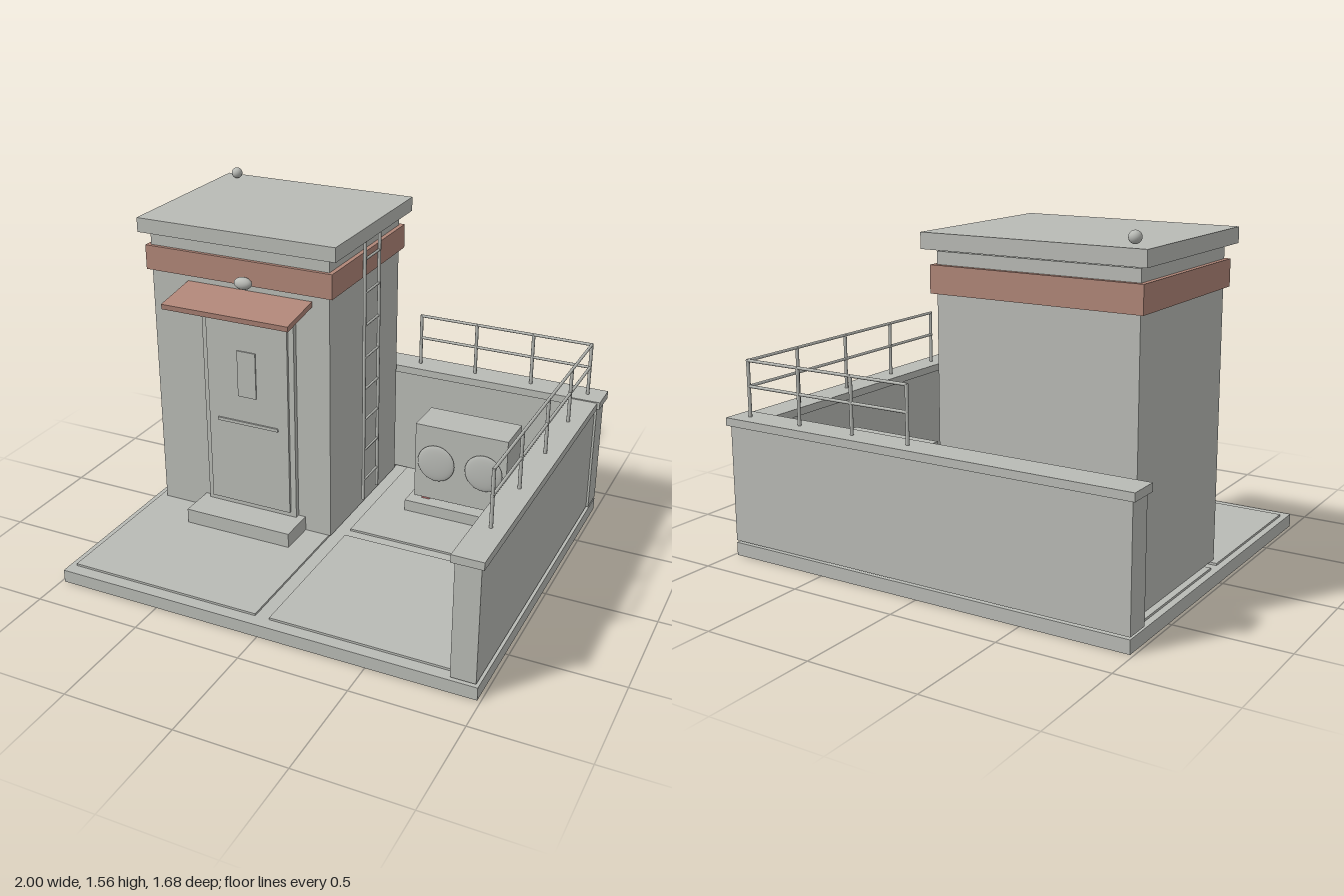
import * as THREE from 'three';

export function createModel() {
  const mat = (name, color) => {
    const m = new THREE.MeshStandardMaterial({ color });
    m.name = name;
    return m;
  };
  const concrete = mat('concrete grey', 0xb9bbb6);
  const clay = mat('clay red', 0xb08678);
  const rubber = mat('foot red', 0xb86c6c);

  const root = new THREE.Group();
  root.name = 'rooftopShelter';

  const group = (name) => {
    const g = new THREE.Group();
    g.name = name;
    root.add(g);
    return g;
  };
  const add = (name, geometry, material, x, y, z, parent = root) => {
    const mesh = new THREE.Mesh(geometry, material);
    mesh.name = name;
    mesh.position.set(x, y, z);
    parent.add(mesh);
    return mesh;
  };
  // Box given by its extents on each axis
  const box = (name, [x0, x1], [y0, y1], [z0, z1], parent = root, material = concrete) =>
    add(name, new THREE.BoxGeometry(x1 - x0, y1 - y0, z1 - z0), material,
      (x0 + x1) / 2, (y0 + y1) / 2, (z0 + z1) / 2, parent);
  // Round bar between two points
  const bar = (name, a, b, radius, parent) => {
    const from = new THREE.Vector3(...a), to = new THREE.Vector3(...b);
    const dir = to.clone().sub(from);
    const mid = from.clone().add(to).multiplyScalar(0.5);
    const mesh = add(name, new THREE.CylinderGeometry(radius, radius, dir.length(), 10),
      concrete, mid.x, mid.y, mid.z, parent);
    mesh.quaternion.setFromUnitVectors(new THREE.Vector3(0, 1, 0), dir.normalize());
    return mesh;
  };
  const ball = (name, x, y, z, rx, ry, rz, parent = root) =>
    add(name, new THREE.SphereGeometry(1, 24, 16), concrete, x, y, z, parent).scale.set(rx, ry, rz);

  // Base with four paving slabs
  box('base', [-0.985, 0.985], [0, 0.06], [-0.83, 0.837]);
  const paving = group('paving');
  for (const x of [[-0.955, -0.037], [0.03, 0.95]])
    for (const z of [[-0.78, -0.027], [0.033, 0.78]])
      box('pavingSlab', x, [0.06, 0.07], z, paving);

  // Parapet walls with caps
  const parapet = group('parapet');
  box('backWall', [-0.985, 0.985], [0.07, 0.603], [-0.83, -0.712], parapet);
  box('backCap', [-1, 1], [0.602, 0.638], [-0.845, -0.70], parapet);
  box('leftWall', [0.865, 0.975], [0.07, 0.60], [-0.712, 0.83], parapet);
  box('leftCap', [0.85, 0.987], [0.598, 0.633], [-0.70, 0.837], parapet);

  // Tower, coloured band and roof slab
  const tower = group('tower');
  box('towerWalls', [-0.925, -0.027], [0.07, 1.423], [-0.68, 0.07], tower);
  box('band', [-0.946, -0.006], [1.255, 1.37], [-0.70, 0.087], tower, clay);
  box('roofSlab', [-0.97, 0.02], [1.433, 1.5], [-0.725, 0.107], tower);
  ball('roofBall', -0.88, 1.53, -0.645, 0.026, 0.026, 0.026, tower);

  // Door with frame, window, push bar and step
  const entrance = group('entrance');
  box('doorFrame', [-0.66, -0.193], [0.14, 1.155], [0.06, 0.095], entrance);
  box('door', [-0.633, -0.22], [0.165, 1.13], [0.08, 0.108], entrance);
  box('doorWindow', [-0.474, -0.38], [0.72, 0.945], [0.107, 0.114], entrance);
  box('doorBar', [-0.585, -0.272], [0.578, 0.593], [0.107, 0.116], entrance);
  box('doorStep', [-0.695, -0.157], [0.07, 0.14], [0.065, 0.247], entrance);

  // Sloping awning and lamp over the door
  const awning = box('awning', [-0.738, -0.112], [1.183, 1.208], [0.063, 0.3], entrance, clay);
  awning.rotation.x = 0.15;
  ball('doorLamp', -0.427, 1.275, 0.116, 0.043, 0.028, 0.028, entrance);

  // Ladder on the tower side
  const ladder = group('ladder');
  for (const z of [-0.218, -0.376])
    bar('ladderRail', [0.008, 0.13, z], [0.008, 1.433, z], 0.008, ladder);
  for (let i = 0; i < 8; i++) {
    const y = 1.345 - i * 0.159;
    bar('ladderRung', [0.008, y, -0.218], [0.008, y, -0.376], 0.006, ladder);
  }

  // Railings on the parapet
  const railing = group('railing');
  const railX = 0.92, railZ = -0.775;
  for (const x of [0.065, 0.353, 0.638, railX])
    bar('backPost', [x, 0.63, railZ], [x, 0.893, railZ], 0.008, railing);
  for (const z of [0.583, 0.236, -0.113, -0.455])
    bar('leftPost', [railX, 0.63, z], [railX, 0.893, z], 0.008, railing);
  for (const y of [0.775, 0.89]) {
    bar('backRail', [0.06, y, railZ], [railX + 0.006, y, railZ], 0.007, railing);
    bar('leftRail', [railX, y, railZ - 0.006], [railX, y, 0.59], 0.007, railing);
  }

  // Cooling unit with two fans on a plinth
  const cooler = group('coolingUnit');
  box('plinth', [0.19, 0.715], [0.07, 0.125], [-0.575, -0.303], cooler);
  box('unitBody', [0.222, 0.68], [0.142, 0.525], [-0.538, -0.343], cooler);
  for (const x of [0.275, 0.627])
    box('unitFoot', [x - 0.02, x + 0.02], [0.124, 0.143], [-0.52, -0.36], cooler, rubber);
  for (const x of [0.332, 0.57])
    ball('fan', x, 0.34, -0.335, 0.093, 0.093, 0.013, cooler);

  return root;
}
